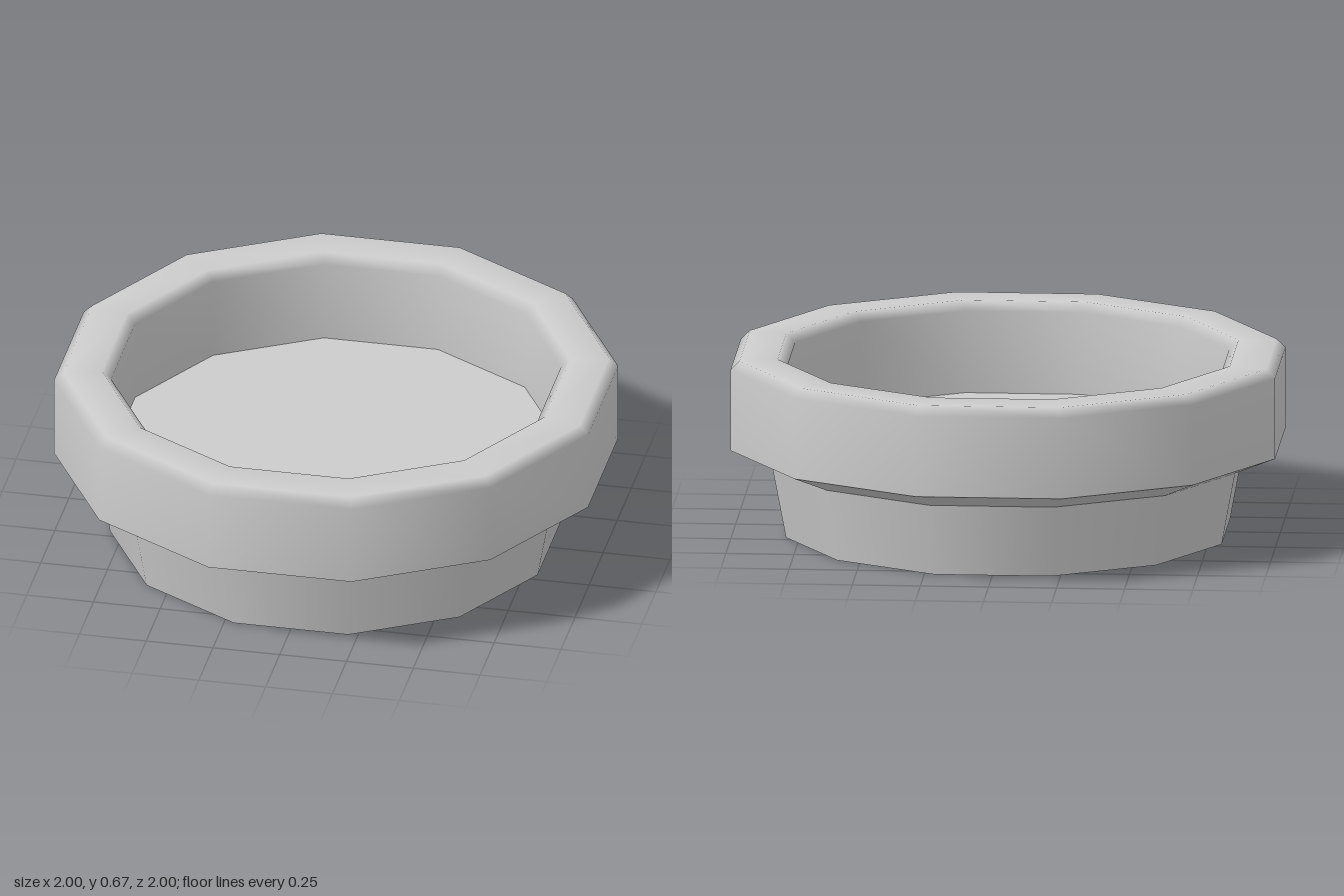
import * as THREE from 'three';

const SIDES = 12;
// Profiles give the distance to the middle of each flat side; lathe needs the corner radius.
const CORNER = 1 / Math.cos(Math.PI / SIDES);

export function createModel() {
  const group = new THREE.Group();
  group.name = 'dish';
  const grey = new THREE.MeshStandardMaterial({ color: 0xcccccc });
  grey.name = 'light grey';

  // Each profile is one smooth band; bands meet at hard edges.
  const addBand = (name, profile) => {
    const points = profile.map(([r, y]) => new THREE.Vector2(r * CORNER, y));
    const geometry = new THREE.LatheGeometry(points, SIDES, Math.PI / SIDES);
    const mesh = new THREE.Mesh(geometry, grey);
    mesh.name = name;
    group.add(mesh);
  };

  addBand('underside', [[0, 0], [0.8, 0]]);
  addBand('taperedBase', [[0.8, 0], [0.85, 0.27]]);
  addBand('flare', [[0.85, 0.27], [1, 0.335]]);
  // Outer wall, bevelled rim and inner wall
  addBand('rim', [
    [1, 0.335], [1, 0.637], [0.967, 0.67],
    [0.83, 0.67], [0.797, 0.637], [0.797, 0.33],
  ]);
  addBand('floor', [[0.797, 0.33], [0, 0.33]]);

  return group;
}
